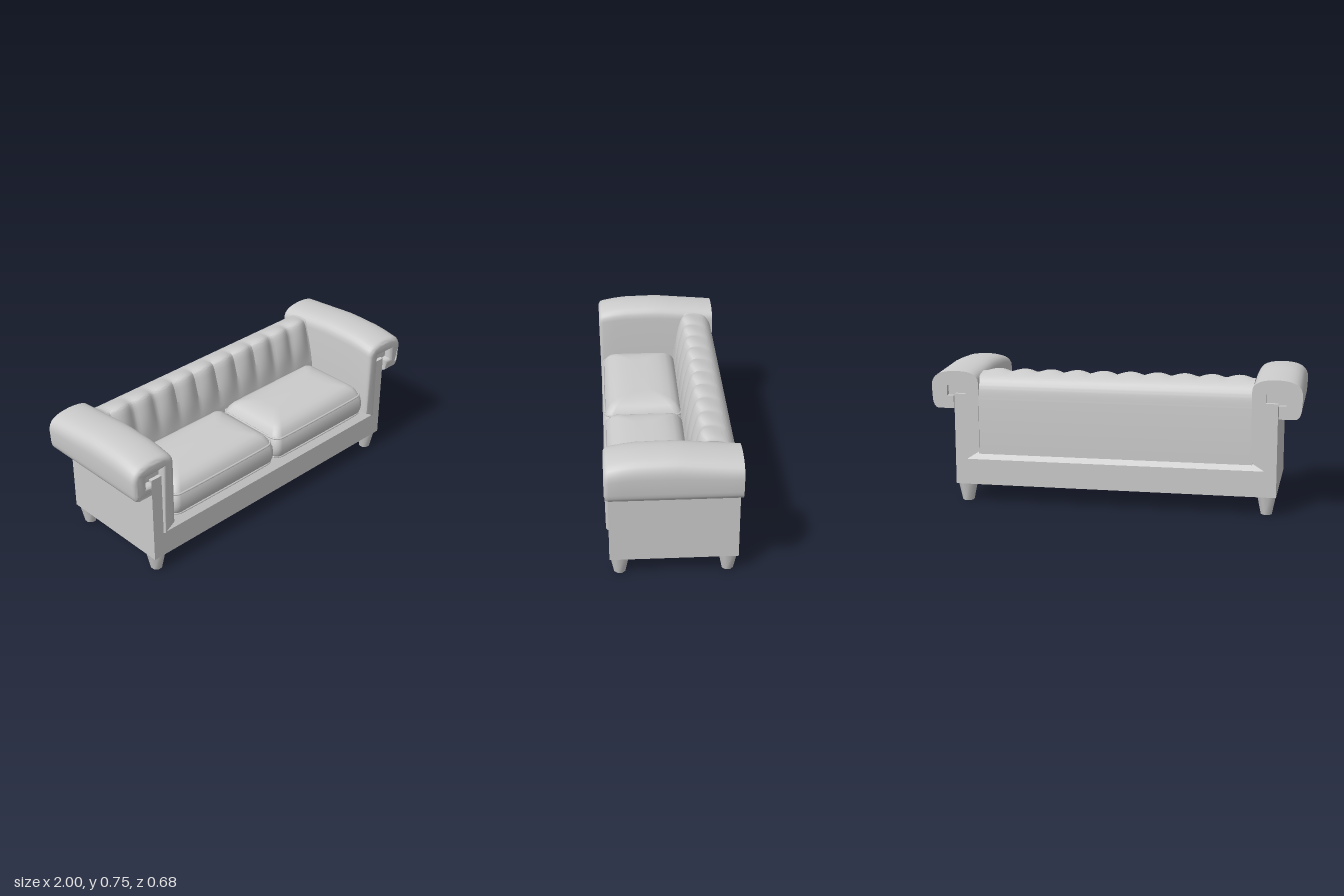
import * as THREE from 'three';
import { toCreasedNormals } from 'three/addons/utils/BufferGeometryUtils.js';

const material = new THREE.MeshStandardMaterial({ color: 0xcccccc });
const smooth = THREE.MathUtils.smoothstep;

function add(parent, name, geometry, crease = 0.6) {
  const mesh = new THREE.Mesh(crease ? toCreasedNormals(geometry, crease) : geometry, material);
  mesh.name = name;
  parent.add(mesh);
  return mesh;
}

function box(x0, x1, y0, y1, z0, z1) {
  return new THREE.BoxGeometry(x1 - x0, y1 - y0, z1 - z0)
    .translate((x0 + x1) / 2, (y0 + y1) / 2, (z0 + z1) / 2);
}

// Moves every vertex of a geometry by a rule
function bend(geometry, rule) {
  const p = geometry.attributes.position;
  const v = new THREE.Vector3();
  for (let i = 0; i < p.count; i++) {
    rule(v.fromBufferAttribute(p, i));
    p.setXYZ(i, v.x, v.y, v.z);
  }
  return geometry;
}

// Extrudes a (z, y) profile along x, centred on x = 0
function extrudeAlongX(shape, width, steps) {
  return new THREE.ExtrudeGeometry(shape, { depth: width, steps, bevelEnabled: false, curveSegments: 8 })
    .translate(0, 0, -width / 2).rotateY(-Math.PI / 2);
}

// Height gained by the crowned arm along its depth
const crownCurve = z => z < 0
  ? 0.03 * (1 + z / 0.34)
  : z < 0.21 ? 0.03 - 0.025 * z : 0.025 - 0.2 * (z - 0.21);

function createArm(side) {
  const arm = new THREE.Group();
  arm.name = side > 0 ? 'leftArm' : 'rightArm';

  // Padded band: up the inside, over the top and hooked in underneath
  const s = new THREE.Shape();
  const X = x => x * side;
  s.moveTo(X(0.81), 0.24);
  s.lineTo(X(0.74), 0.285);
  s.lineTo(X(0.738), 0.66);
  s.bezierCurveTo(X(0.738), 0.715, X(0.80), 0.725, X(0.87), 0.725);
  s.bezierCurveTo(X(0.95), 0.722, X(1.0), 0.705, X(1.0), 0.64);
  s.lineTo(X(0.996), 0.57);
  s.quadraticCurveTo(X(0.99), 0.52, X(0.96), 0.52);
  s.lineTo(X(0.878), 0.52);
  s.lineTo(X(0.878), 0.588);
  s.lineTo(X(0.915), 0.59);
  s.lineTo(X(0.915), 0.645);
  s.lineTo(X(0.81), 0.65);
  const roll = new THREE.ExtrudeGeometry(s, {
    depth: 0.665, steps: 10, curveSegments: 8,
    bevelThickness: 0.025, bevelSize: 0.022, bevelOffset: -0.022, bevelSegments: 4,
  }).translate(0, 0, -0.35);
  bend(roll, v => {
    v.z = Math.max(v.z, -0.34);
    v.y += crownCurve(v.z) * smooth(v.y, 0.55, 0.72);
    if (v.y < 0.55) v.z = Math.min(v.z, 0.333);
  });
  add(arm, 'armRoll', roll, 0.7);

  // Flat outer panel and the filling inside the scroll
  const span = (a, b) => side > 0 ? [a, b] : [-b, -a];
  add(arm, 'armPanel', box(...span(0.805, 0.874), 0.1, 0.6, -0.34, 0.32));
  add(arm, 'scrollFilling', box(...span(0.805, 0.925), 0.58, 0.655, -0.31, 0.3));
  return arm;
}

function createBackrest() {
  const s = new THREE.Shape();
  s.moveTo(-0.1, 0.27);
  s.lineTo(-0.333, 0.27);
  s.lineTo(-0.335, 0.57);
  s.splineThru([[-0.325, 0.64], [-0.29, 0.69], [-0.23, 0.712], [-0.18, 0.715], [-0.158, 0.695],
    [-0.14, 0.64], [-0.12, 0.55], [-0.105, 0.45]].map(p => new THREE.Vector2(...p)));
  // Scalloped front ridge, fading out towards the seat and the rear
  return bend(extrudeAlongX(s, 1.49, 100), v => {
    const puff = Math.abs(Math.sin(Math.PI * v.x / 0.147)) - 0.5;
    const w = smooth(v.y, 0.42, 0.66) * smooth(v.z, -0.31, -0.19);
    v.y += 0.014 * puff * w;
    v.z += 0.022 * puff * w;
  });
}

// Points of a rounded rectangle, inset from the cushion outline
function outline(c, inset, y) {
  const points = [];
  const hx = c.hx - inset, hz = c.hz - inset, r = Math.max(0.045 - inset * 0.2, 0.015);
  for (let q = 0; q < 4; q++) {
    const sx = q === 0 || q === 3 ? 1 : -1, sz = q < 2 ? 1 : -1;
    for (let k = 0; k <= 5; k++) {
      const a = (q + k / 5) * Math.PI / 2;
      points.push(new THREE.Vector3(c.x + sx * (hx - r) + r * Math.cos(a), y, c.z + sz * (hz - r) + r * Math.sin(a)));
    }
  }
  return points;
}

function createCushion(name, x0, x1) {
  const cushion = new THREE.Group();
  cushion.name = name;
  const c = { x: (x0 + x1) / 2, z: 0.105, hx: (x1 - x0) / 2, hz: 0.228 };

  // Stacked outlines from the underside to the crowned top: inset, height
  const levels = [[0.06, 0.287], [0.025, 0.295], [0.012, 0.31], [0.003, 0.335], [0, 0.365], [0.004, 0.4],
    [0.014, 0.425], [0.026, 0.45], [0.045, 0.473], [0.075, 0.489], [0.12, 0.498], [0.17, 0.501]];
  const rings = levels.map(([inset, y]) => outline(c, inset, y));
  const n = rings[0].length;
  const points = [...rings.flat(), new THREE.Vector3(c.x, 0.287, c.z), new THREE.Vector3(c.x, 0.502, c.z)];
  const index = [], top = (rings.length - 1) * n, centre = rings.length * n;
  for (let j = 0; j < n; j++) {
    const k = (j + 1) % n;
    for (let i = 0; i < rings.length - 1; i++) {
      const a = i * n + j, b = i * n + k;
      index.push(a, a + n, b, b, a + n, b + n);
    }
    index.push(centre, j, k, centre + 1, top + k, top + j);
  }
  const body = new THREE.BufferGeometry().setFromPoints(points);
  body.setIndex(index);
  body.computeVertexNormals();
  add(cushion, 'cushionBody', body, 0);

  // Piping along both seams
  for (const [inset, y] of [[0.012, 0.31], [0.014, 0.427]]) {
    const path = new THREE.CatmullRomCurve3(outline(c, inset, y), true, 'centripetal');
    add(cushion, 'piping', new THREE.TubeGeometry(path, 120, 0.006, 6, true), 0);
  }
  return cushion;
}

export function createModel() {
  const sofa = new THREE.Group();
  sofa.name = 'sofa';

  // Seat base with sloping ledges at front and rear
  const base = new THREE.Shape([[0.32, 0.1], [0.32, 0.24], [0.275, 0.286], [-0.31, 0.286], [-0.34, 0.24], [-0.34, 0.1]]
    .map(p => new THREE.Vector2(...p)));
  add(sofa, 'seatBase', extrudeAlongX(base, 1.62, 1), 0.4);
  add(sofa, 'backrest', createBackrest());

  sofa.add(createCushion('rightCushion', -0.74, -0.003));
  sofa.add(createCushion('leftCushion', -0.003, 0.72));

  for (const side of [1, -1]) {
    sofa.add(createArm(side));
    // Tapered legs
    for (const [end, z] of [['front', 0.268], ['rear', -0.288]]) {
      const leg = new THREE.CylinderGeometry(0.053, 0.031, 0.102, 8).rotateY(Math.PI / 8);
      add(sofa, end + 'Leg', leg, 0.9).position.set(side * 0.823, 0.051, z);
    }
  }
  return sofa;
}
